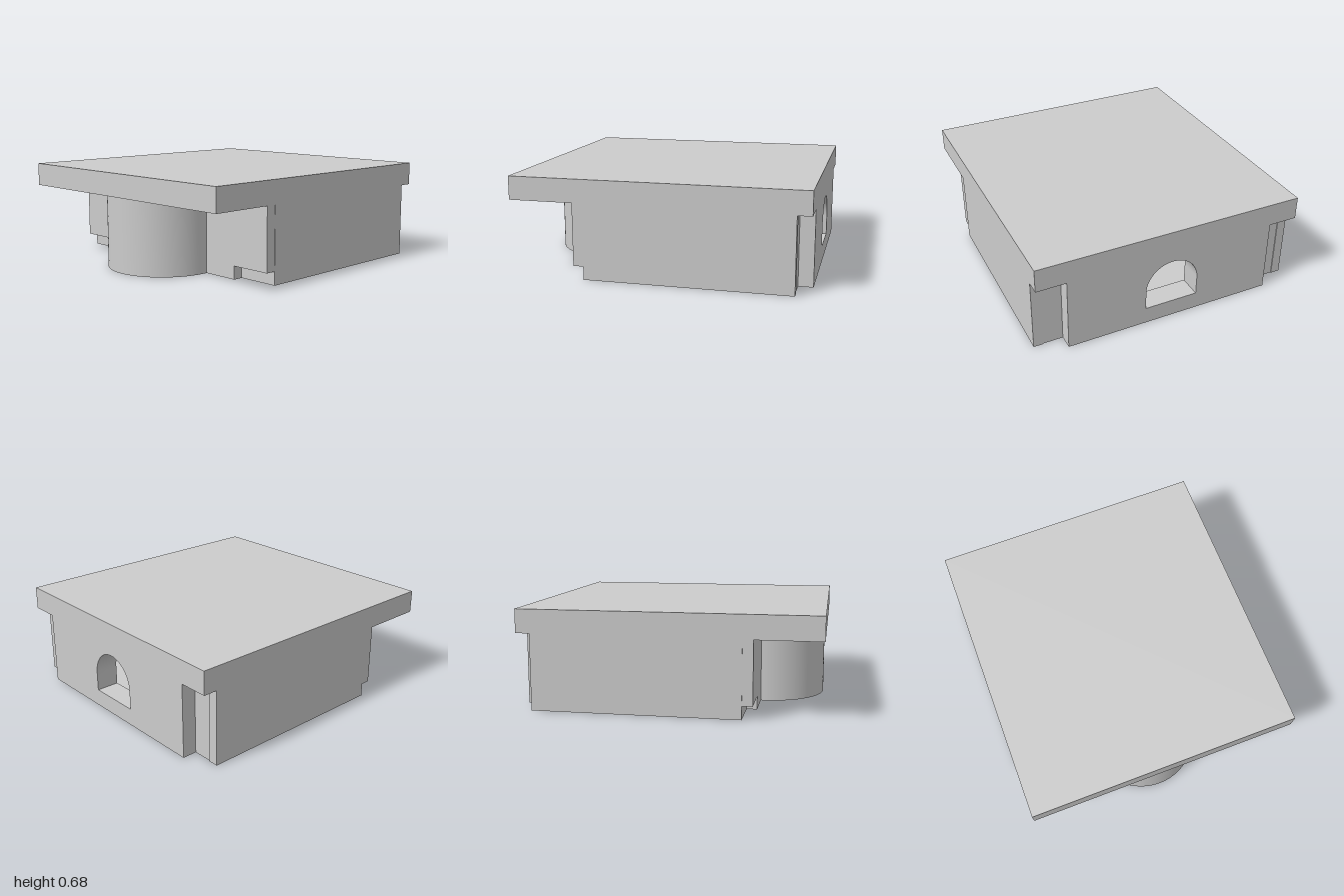
import * as THREE from 'three';
import { toCreasedNormals } from 'three/addons/utils/BufferGeometryUtils.js';

const stone = new THREE.MeshStandardMaterial({ color: 0xcccccc });
stone.name = 'pale grey stone';

export function createModel() {
  const model = new THREE.Group();
  model.name = 'chapel';

  const add = (name, geometry, parent = model) => {
    const mesh = new THREE.Mesh(geometry, stone);
    mesh.name = name;
    parent.add(mesh);
    return mesh;
  };
  // Box given by its extents on each axis
  const box = (name, x0, x1, y0, y1, z0, z1, parent) => {
    const g = new THREE.BoxGeometry(x1 - x0, y1 - y0, z1 - z0);
    g.translate((x0 + x1) / 2, (y0 + y1) / 2, (z0 + z1) / 2);
    return add(name, g, parent);
  };
  // Wall across z with a round-headed opening cut down to its base
  const archWall = (name, x0, x1, y0, y1, half, radius, spring) => {
    const s = new THREE.Shape();
    s.moveTo(-half, y0);
    s.lineTo(-radius, y0);
    s.lineTo(-radius, spring);
    s.absarc(0, spring, radius, Math.PI, 0, true);
    s.lineTo(radius, y0);
    s.lineTo(half, y0);
    s.lineTo(half, y1);
    s.lineTo(-half, y1);
    s.closePath();
    const g = new THREE.ExtrudeGeometry(s, { depth: x1 - x0, bevelEnabled: false, curveSegments: 32 });
    g.rotateY(Math.PI / 2);
    g.translate(x0, 0, 0);
    return add(name, toCreasedNormals(g, 0.5));
  };

  // Roof slab and floors
  box('roof', -1, 1, 0.515, 0.675, -0.95, 0.95);
  box('floor', -0.49, 0.9, 0, 0.09, -0.885, 0.885);
  box('apseStep', -0.56, -0.49, 0, 0.09, -0.66, 0.66);
  box('threshold', 0.84, 1, 0, 0.12, -0.745, 0.745);

  // Long side walls and the narrow returns beside the portal
  for (const s of [-1, 1]) {
    const sideBox = (name, x0, x1, y0, y1, a, b) =>
      box(name, x0, x1, y0, y1, Math.min(s * a, s * b), Math.max(s * a, s * b));
    sideBox('sideWall', -0.49, 0.905, 0, 0.515, 0.885, 0.95);
    sideBox('portalReturn', 0.84, 0.9, 0.09, 0.515, 0.745, 0.885);
  }

  // End walls: entrance portal and apse arch
  archWall('portalWall', 0.84, 1, 0.12, 0.515, 0.745, 0.19, 0.255);
  archWall('apseArchWall', -0.56, -0.49, 0.09, 0.515, 0.947, 0.33, 0.16);

  // Curved apse wall with a slightly raised floor
  const profile = [[0.355, 0], [0.4, 0], [0.4, 0.515], [0.355, 0.515], [0.355, 0]]
    .map(([r, y]) => new THREE.Vector2(r, y));
  const apse = new THREE.LatheGeometry(profile, 48, Math.PI - 0.05, Math.PI + 0.1);
  apse.translate(-0.58, 0, 0);
  add('apseWall', toCreasedNormals(apse, 0.6));
  const apseFloor = new THREE.CylinderGeometry(0.36, 0.36, 0.08, 48, 1, false, Math.PI - 0.05, Math.PI + 0.1);
  apseFloor.translate(-0.58, 0.05, 0);
  add('apseFloor', apseFloor);

  // Ceiling beams crossing the hall
  for (let i = 0; i < 6; i++) {
    const x = -0.38 + i * 0.21;
    box('ceilingBeam', x, x + 0.03, 0.405, 0.42, -0.885, 0.885);
    box('upperBeam', x + 0.08, x + 0.11, 0.38, 0.39, -0.885, 0.885);
  }

  // Raised platforms flanking the aisle, with low seats
  for (const s of [-1, 1]) {
    const platform = box('platform', -0.4, 0.5, 0.09, 0.18, -0.2, 0.2);
    platform.scale.z = 0.75;
    platform.position.z = s * 0.22;
    for (let i = 0; i < 4; i++) {
      const x = -0.3 + i * 0.2;
      box('seat', x, x + 0.05, 0.18, 0.2, s * 0.13 - 0.02, s * 0.13 + 0.02);
    }
  }

  // Canopy on four posts with a hanging lantern and an altar block
  const canopy = new THREE.Group();
  canopy.name = 'canopy';
  model.add(canopy);
  box('canopyTop', -0.5, -0.27, 0.335, 0.35, -0.115, 0.115, canopy);
  for (const x of [-0.47, -0.3]) for (const z of [-0.08, 0.08]) {
    box('canopyPost', x - 0.007, x + 0.007, 0.09, 0.335, z - 0.007, z + 0.007, canopy);
  }
  const lantern = new THREE.LatheGeometry(
    [[0, 0.265], [0.02, 0.265], [0.011, 0.295], [0.018, 0.325], [0, 0.325]].map(([r, y]) => new THREE.Vector2(r, y)), 12);
  lantern.translate(-0.385, 0, 0);
  add('lantern', toCreasedNormals(lantern, 0.5), canopy);
  box('lanternRod', -0.388, -0.382, 0.32, 0.515, -0.003, 0.003, canopy);
  box('altar', -0.42, -0.35, 0.09, 0.16, -0.035, 0.035, canopy);

  return model;
}
